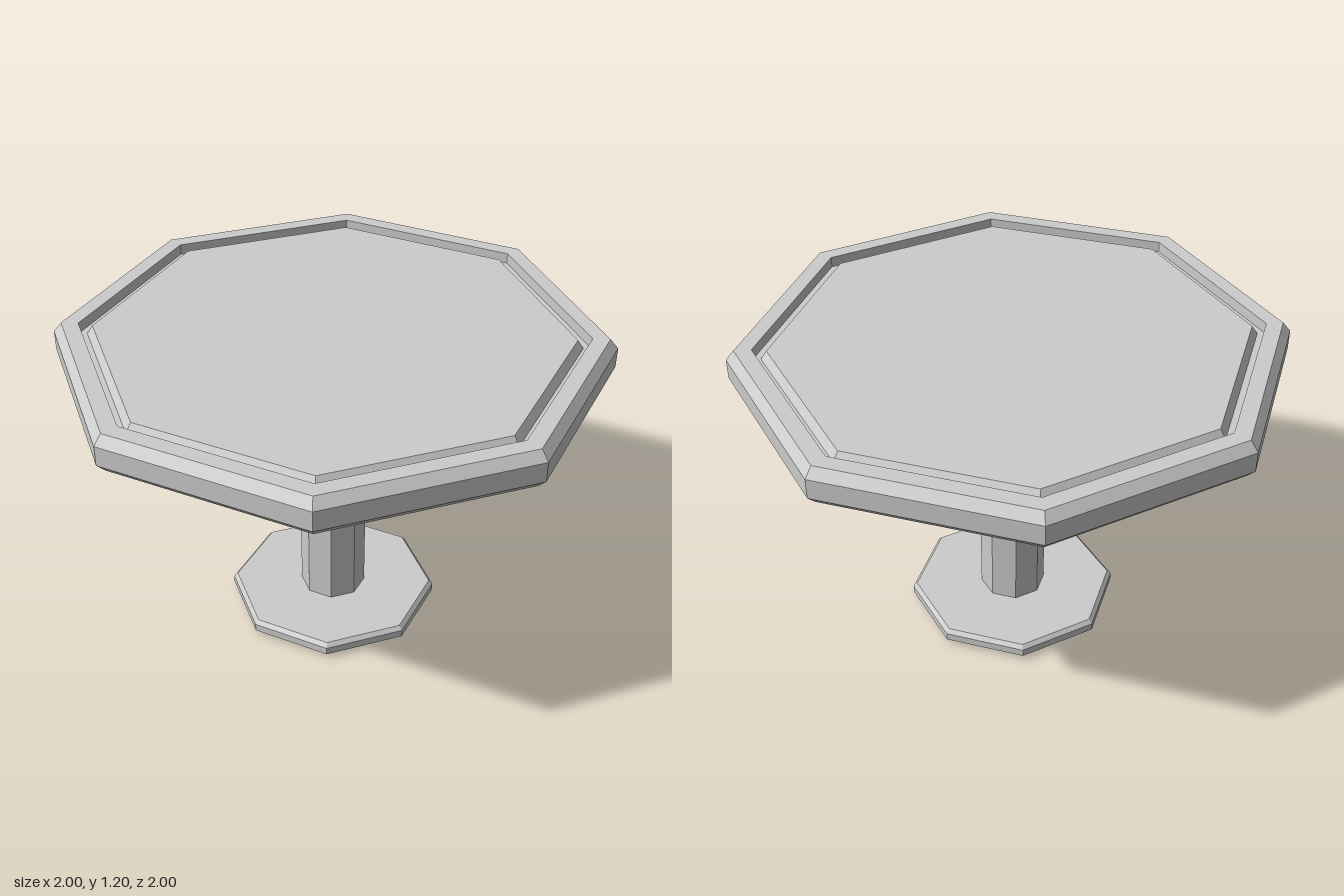
import * as THREE from 'three';

const SIDES = 8;

export function createModel() {
  const model = new THREE.Group();
  model.name = 'pedestalTable';
  const material = new THREE.MeshStandardMaterial({ color: 0xcccccc, flatShading: true });

  // Octagonal solid turned from a [radius, height] profile, listed bottom to top
  const turned = (name, profile) => {
    const points = profile.map(([r, y]) => new THREE.Vector2(r, y));
    const mesh = new THREE.Mesh(new THREE.LatheGeometry(points, SIDES), material);
    mesh.name = name;
    model.add(mesh);
  };

  // Foot plate with bevelled rim
  turned('base', [
    [0, 0.006], [0.385, 0.006], [0.4, 0.02], [0.4, 0.05], [0.385, 0.066], [0, 0.066],
  ]);

  // Column, running through the foot plate into the top
  turned('column', [[0, 0], [0.125, 0], [0.125, 1.08], [0, 1.08]]);

  // Table top: bevelled edge, flat rim, groove and bevelled centre panel
  turned('tableTop', [
    [0, 1.058], [0.97, 1.058], [1, 1.09], [1, 1.164], [0.97, 1.2],
    [0.908, 1.2], [0.908, 1.16], [0.88, 1.16], [0.858, 1.192], [0, 1.192],
  ]);

  return model;
}
